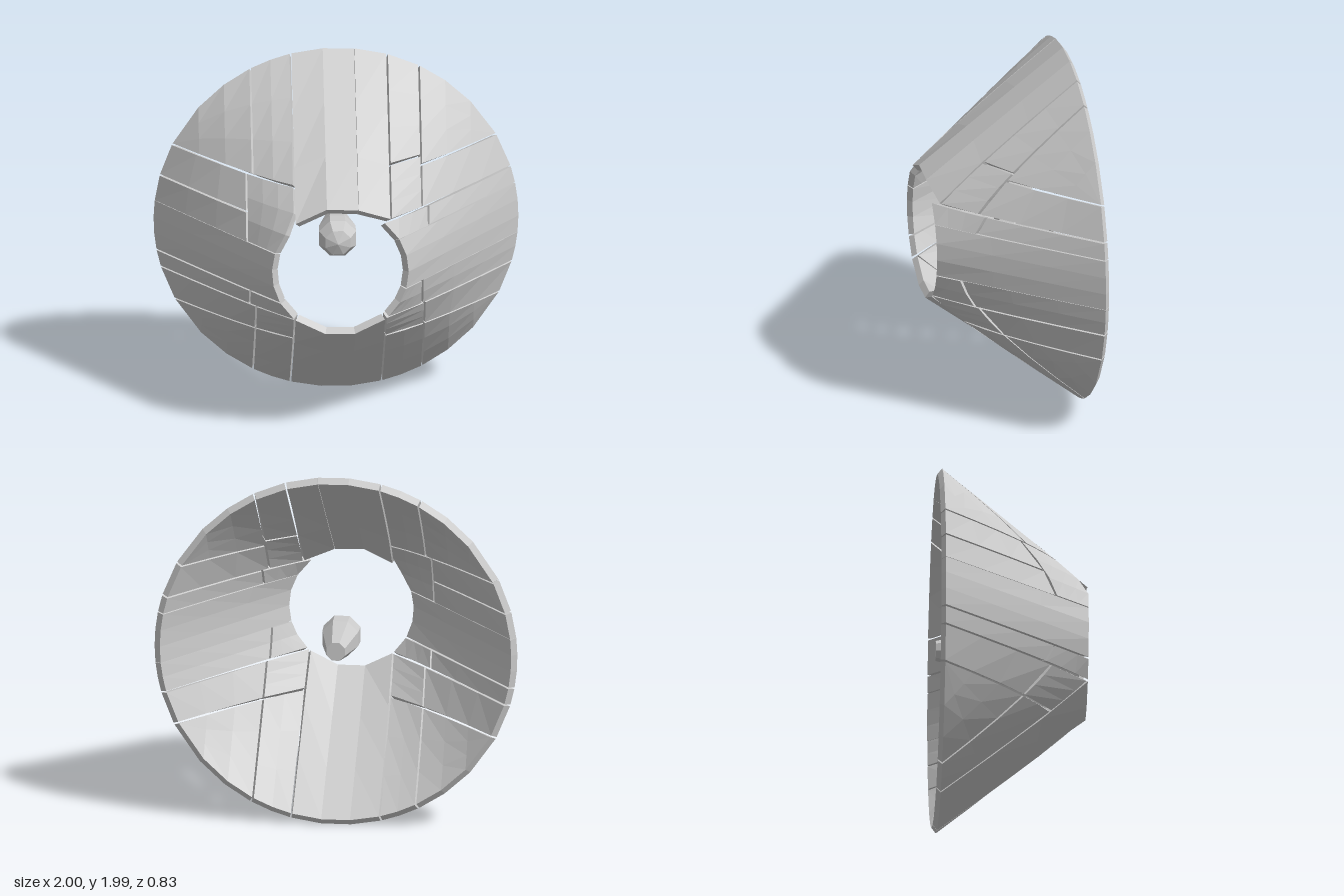
import * as THREE from 'three';

const R_FRONT = 0.375, R_BACK = 1, Z_FRONT = 0.415, Z_BACK = -0.392;
const THICK = 0.04, GAP = 0.005, STEPS = 3;

// Lift a point of the front plan onto the cone, optionally sunk to the inner skin
function onCone(x, y, depth) {
  const slopeR = R_BACK - R_FRONT, slopeZ = Z_FRONT - Z_BACK;
  const len = Math.hypot(slopeR, slopeZ), r = Math.hypot(x, y);
  const k = (r - depth * slopeZ / len) / r;
  const z = Z_FRONT - (r - R_FRONT) / slopeR * slopeZ - depth * slopeR / len;
  return [x * k, y * k, z];
}

// One plank: a rectangle of the plan clipped to the ring and wrapped on the cone.
// upright planks are sliced along x, level ones along y; t runs along the slice.
function plankGeometry(upright, s0, s1, t0, t1, n) {
  s0 += GAP; s1 -= GAP; t0 += GAP; t1 -= GAP;
  const grid = [[], []];
  for (let i = 0; i <= n; i++) {
    const s = s0 + (s1 - s0) * i / n;
    const hole = Math.sqrt(Math.max(0, R_FRONT ** 2 - s * s));
    const rim = Math.sqrt(Math.max(0, R_BACK ** 2 - s * s));
    let a, b;
    if (t0 + t1 > 0) {
      a = Math.max(t0, hole);
      b = Math.max(a, Math.min(t1, rim));
    } else {
      b = Math.min(t1, -hole);
      a = Math.min(b, Math.max(t0, -rim));
    }
    for (let skin = 0; skin < 2; skin++) {
      const row = [];
      for (let j = 0; j <= STEPS; j++) {
        const t = a + (b - a) * j / STEPS;
        row.push(upright ? onCone(s, t, skin * THICK) : onCone(t, s, skin * THICK));
      }
      grid[skin].push(row);
    }
  }
  const pos = [];
  const quad = (a, b, c, d) => {
    if (!upright) [b, d] = [d, b];
    pos.push(...a, ...b, ...c, ...a, ...c, ...d);
  };
  const [o, q] = grid;
  for (let i = 0; i < n; i++) {
    for (let j = 0; j < STEPS; j++) {
      quad(o[i][j], o[i + 1][j], o[i + 1][j + 1], o[i][j + 1]);
      quad(q[i][j], q[i][j + 1], q[i + 1][j + 1], q[i + 1][j]);
    }
    quad(q[i][0], q[i + 1][0], o[i + 1][0], o[i][0]);
    quad(o[i][STEPS], o[i + 1][STEPS], q[i + 1][STEPS], q[i][STEPS]);
  }
  for (let j = 0; j < STEPS; j++) {
    quad(q[0][j], o[0][j], o[0][j + 1], q[0][j + 1]);
    quad(o[n][j], q[n][j], q[n][j + 1], o[n][j + 1]);
  }
  const g = new THREE.BufferGeometry();
  g.setAttribute('position', new THREE.Float32BufferAttribute(pos, 3));
  g.computeVertexNormals();
  return g;
}

export function createModel() {
  const model = new THREE.Group();
  model.name = 'plankedCone';
  const mat = new THREE.MeshStandardMaterial({ color: 0xcccccc, flatShading: true });
  const F = 0.004; // brings neighbours flush where the seam is only a hairline

  // Upright planks: x0, x1, y0, y1, slices (y measured from the cone axis)
  const upright = [
    [-0.25, 0.10 + F, 0.28, 2, 2], [0.10 - F, 0.28, 0.29, 2, 1],
    [-0.47, -0.25, 0.44, 2, 2], [-0.90, -0.47, 0.44, 2, 3],
    [0.28, 0.455, 0.52, 2, 1], [0.28, 0.455, 0.29, 0.52, 1],
    [0.455, 0.88, 0.48, 2, 3],
    [-0.25, 0.25, -2, -0.27, 3],
    [0.25, 0.47, -2, -0.45, 2], [0.25, 0.47, -0.45, -0.27, 1],
    [0.47, 0.895, -2, -0.45, 3],
    [-0.455, -0.25, -2, -0.47, 2], [-0.455, -0.25, -0.47, -0.28, 1],
    [-0.885, -0.455, -2, -0.47, 3],
  ];
  // Level planks: y0, y1, x0, x1, slices
  const level = [
    // left of the picture plane (-x)
    [0.26, 0.44, -2, -0.505, 1], [0.11, 0.44, -0.505, -0.25, 3],
    [0.11 - F, 0.26, -2, -0.505, 1], [-0.18, 0.11 + F, -2, -0.2, 3],
    [-0.28, -0.18, -2, -0.49, 1], [-0.28, -0.18, -0.49, -0.2, 1],
    [-0.47, -0.28, -2, -0.455, 1],
    // opposite side (+x)
    [0.29, 0.48, 0.455, 2, 1],
    [0.19, 0.29, 0.49, 2, 1], [0.19 - F, 0.29, 0.2, 0.49, 1],
    [-0.10 - F, 0.19 + F, 0.2, 2, 3],
    [-0.27, -0.10 + F, 0.455, 2, 2], [-0.27, -0.10, 0.2, 0.455, 2],
    [-0.45, -0.27, 0.47, 2, 1],
  ];

  const shell = new THREE.Group();
  shell.name = 'coneShell';
  const addPlanks = (list, isUpright, name) => list.forEach((p, i) => {
    const mesh = new THREE.Mesh(plankGeometry(isUpright, ...p), mat);
    mesh.name = name + (i + 1);
    shell.add(mesh);
  });
  addPlanks(upright, true, 'uprightPlank');
  addPlanks(level, false, 'levelPlank');
  model.add(shell);

  // Free-standing bulb on the axis: narrow neck at the back, rounded at the front
  const profile = [[0, -0.41], [0.055, -0.41], [0.107, -0.17], [0.11, -0.08],
    [0.075, -0.01], [0, 0.015]].map(([r, z]) => new THREE.Vector2(r, z));
  const bulbGeo = new THREE.LatheGeometry(profile, 8);
  bulbGeo.rotateX(Math.PI / 2);
  bulbGeo.rotateZ(Math.PI / 8);
  const bulb = new THREE.Mesh(bulbGeo, mat);
  bulb.name = 'bulb';
  model.add(bulb);

  shell.position.y = bulb.position.y = 1;
  return model;
}
